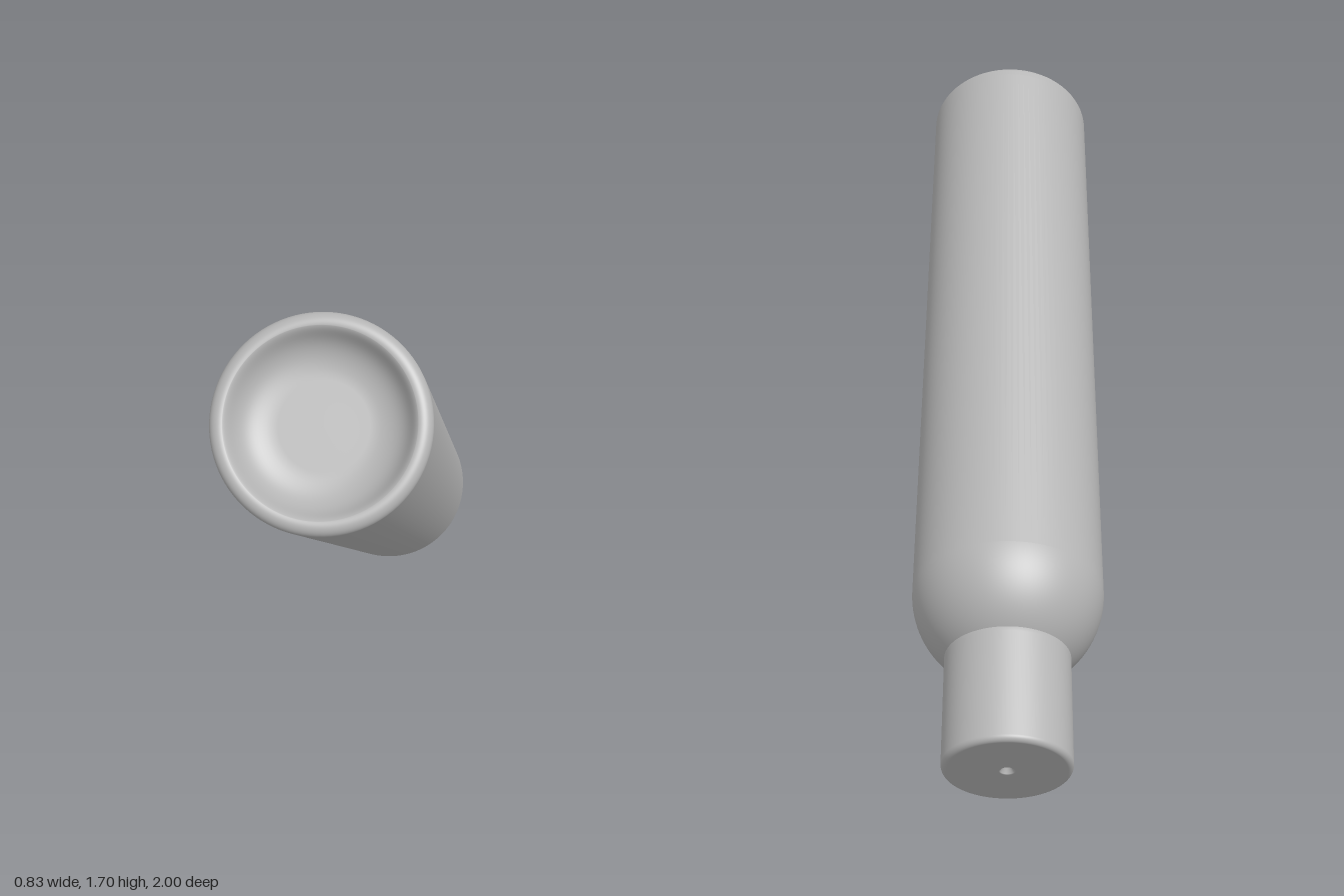
import * as THREE from 'three';

const BODY_R = 0.242;
const CAP_R = 0.156;

// Turn a profile (radius, distance along the axis) into a named mesh
function turned(name, path, material) {
  const mesh = new THREE.Mesh(new THREE.LatheGeometry(path.getPoints(20), 96), material);
  mesh.name = name;
  return mesh;
}

export function createModel() {
  const model = new THREE.Group();
  model.name = 'cartridge';
  const metal = new THREE.MeshStandardMaterial({ color: 0xb4b4b4 });
  metal.name = 'grey metal';

  // Body: round shoulder, straight wall, rolled rim and shallow dished base
  const body = new THREE.Path();
  const shoulderStart = -Math.acos(0.148 / BODY_R);
  body.absarc(0, 0.48, BODY_R, shoulderStart, 0, false);
  body.lineTo(BODY_R, 2.25);
  body.absarc(BODY_R - 0.025, 2.265, 0.025, 0, Math.PI * 0.6, false);
  body.bezierCurveTo(0.19, 2.275, 0.19, 2.228, 0.115, 2.218);
  body.lineTo(0.1, 2.217);
  body.lineTo(0, 2.217);

  // Neck cap: pierced dimple, flat end, small edge fillet, straight wall
  const cap = new THREE.Path();
  cap.moveTo(0, 0.018);
  cap.lineTo(0.008, 0.016);
  cap.lineTo(0.017, 0.001);
  cap.lineTo(0.02, 0);
  cap.lineTo(CAP_R - 0.016, 0);
  cap.absarc(CAP_R - 0.014, 0.014, 0.014, -Math.PI / 2, 0, false);
  cap.lineTo(CAP_R, 0.285);
  cap.lineTo(CAP_R, 0.296);
  cap.lineTo(CAP_R - 0.003, 0.301);
  cap.lineTo(CAP_R - 0.02, 0.301);

  model.add(turned('body', body, metal), turned('neckCap', cap, metal));

  // Tilt the long axis: cap low at the back, base high at the front
  const foot = new THREE.Vector3(0.26, 0.122, -0.905);
  const axis = new THREE.Vector3(-0.44, 1.39, 1.755).normalize();
  model.quaternion.setFromUnitVectors(new THREE.Vector3(0, 1, 0), axis);
  model.position.copy(foot);

  const root = new THREE.Group();
  root.add(model);
  return root;
}
